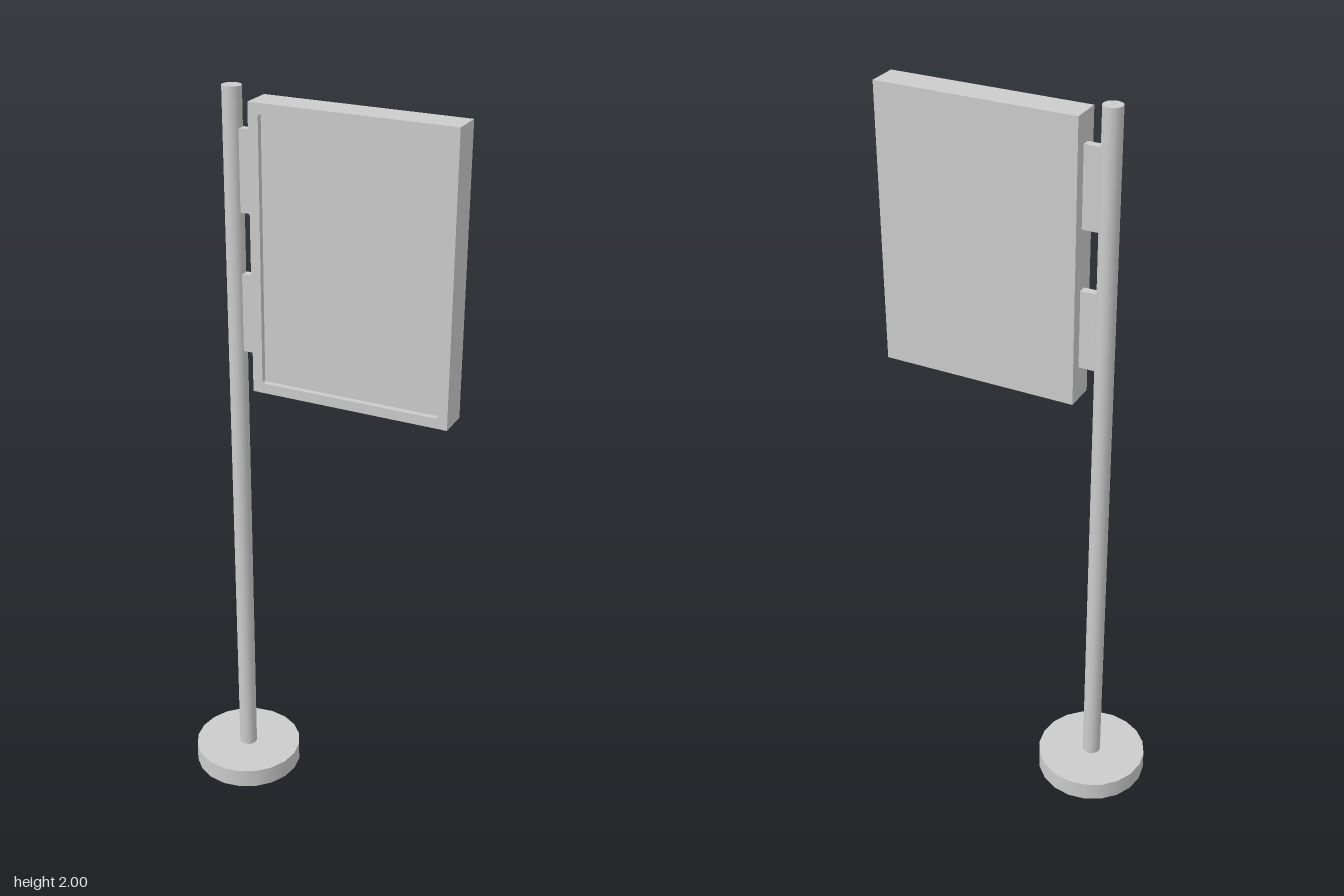
import * as THREE from 'three';

const grey = new THREE.MeshStandardMaterial({ color: 0xcccccc });
const greyThin = new THREE.MeshStandardMaterial({ color: 0xcccccc, side: THREE.DoubleSide });

const POLE_X = -0.225;
const SIGN = { x0: -0.16, x1: 0.377, y0: 1.228, y1: 1.975, depth: 0.084, border: 0.027, recess: 0.015 };

function add(parent, name, geometry, x, y, z, material = grey) {
  const mesh = new THREE.Mesh(geometry, material);
  mesh.name = name;
  mesh.position.set(x, y, z);
  parent.add(mesh);
  return mesh;
}

// Rectangle centred on the origin, with optional rounded corners
function rectangle(path, w, h, r = 0) {
  const x = w / 2, y = h / 2;
  path.moveTo(-x + r, -y);
  path.lineTo(x - r, -y);
  if (r) path.quadraticCurveTo(x, -y, x, -y + r);
  path.lineTo(x, y - r);
  if (r) path.quadraticCurveTo(x, y, x - r, y);
  path.lineTo(-x + r, y);
  if (r) path.quadraticCurveTo(-x, y, -x, y - r);
  path.lineTo(-x, -y + r);
  if (r) path.quadraticCurveTo(-x, -y, -x + r, -y);
  return path;
}

export function createModel() {
  const model = new THREE.Group();
  model.name = 'poleSign';

  // Hollow base: a thin wall and a top disc, open underneath
  const base = new THREE.Group();
  base.name = 'base';
  base.position.x = POLE_X;
  model.add(base);
  add(base, 'baseWall', new THREE.CylinderGeometry(0.153, 0.153, 0.055, 20, 1, true), 0, 0.0275, 0, greyThin);
  const disc = add(base, 'baseTop', new THREE.CircleGeometry(0.153, 20), 0, 0.055, 0, greyThin);
  disc.rotation.x = -Math.PI / 2;

  // Pole, reaching just below the base disc
  add(model, 'pole', new THREE.CylinderGeometry(0.025, 0.025, 1.955, 20), POLE_X, 1.0225, 0);

  // Brackets between pole and sign
  for (const y of [1.425, 1.795]) {
    add(model, 'bracket', new THREE.BoxGeometry(0.055, 0.21, 0.022), -0.184, y, 0);
  }

  // Sign box with a raised border around the recessed front
  const { x0, x1, y0, y1, depth, border, recess } = SIGN;
  const w = x1 - x0, h = y1 - y0;
  const sign = new THREE.Group();
  sign.name = 'sign';
  sign.position.set((x0 + x1) / 2, (y0 + y1) / 2, 0);
  model.add(sign);
  add(sign, 'signPanel', new THREE.BoxGeometry(w, h, depth - recess), 0, 0, -recess / 2);

  const outline = rectangle(new THREE.Shape(), w, h);
  outline.holes.push(rectangle(new THREE.Path(), w - 2 * border, h - 2 * border, 0.008));
  const frame = new THREE.ExtrudeGeometry(outline, { depth: recess, bevelEnabled: false, curveSegments: 3 });
  add(sign, 'signFrame', frame, 0, 0, depth / 2 - recess);

  return model;
}
